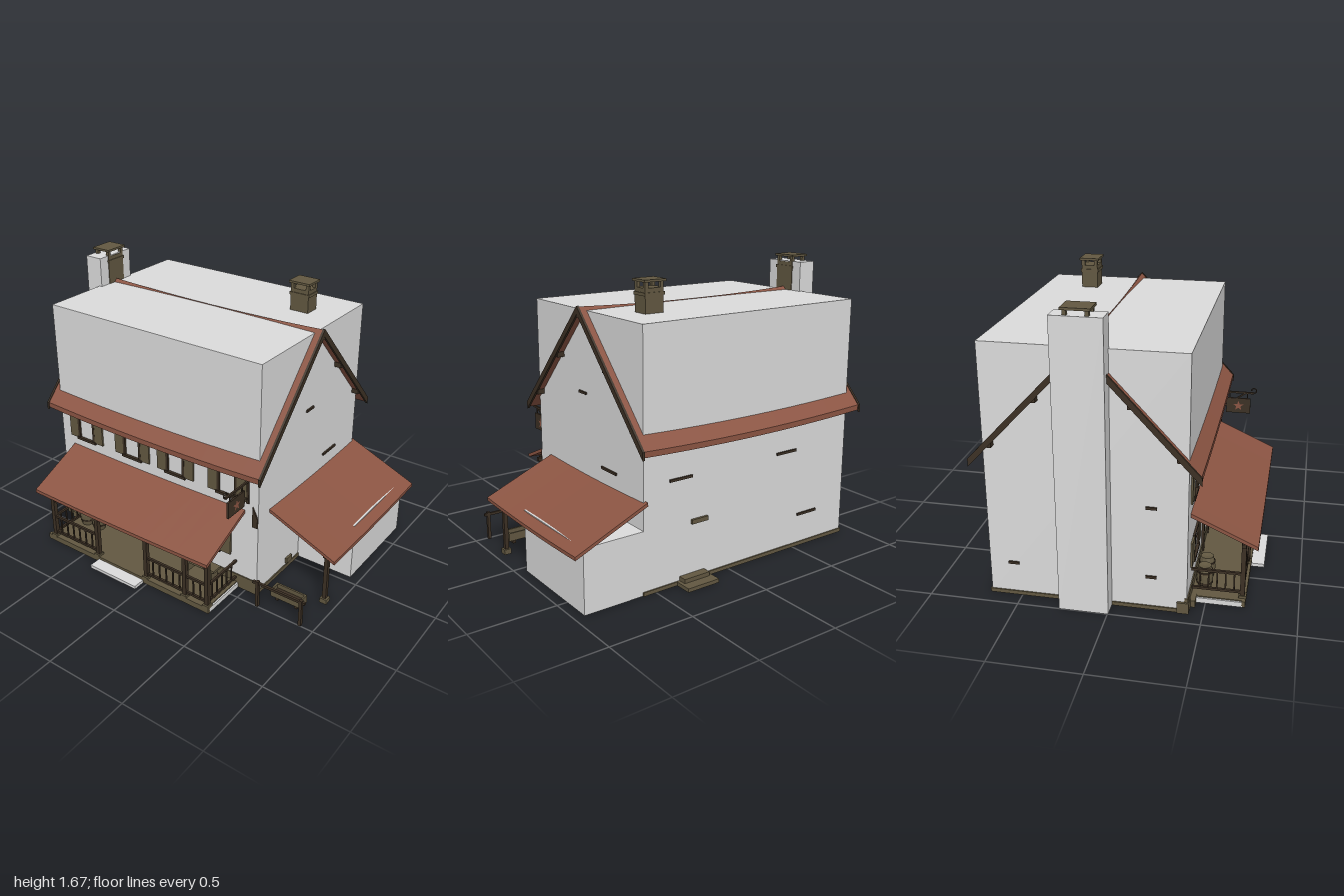
import * as THREE from 'three';

const mat = (name, color) => {
  const m = new THREE.MeshStandardMaterial({ color, flatShading: true });
  m.name = name;
  return m;
};

export function createModel() {
  const model = new THREE.Group();
  model.name = 'house';
  const wall = mat('plaster', 0xdcdcdc);
  const tile = mat('terracotta', 0x8c5543);
  const olive = mat('weathered wood', 0x625841);
  const dark = mat('dark timber', 0x3c3024);

  const add = (name, geo, material) => {
    const mesh = new THREE.Mesh(geo, material);
    mesh.name = name;
    model.add(mesh);
    return mesh;
  };
  // axis-aligned box from its limits
  const box = (name, m, x0, x1, y0, y1, z0, z1) => {
    const b = add(name, new THREE.BoxGeometry(x1 - x0, y1 - y0, z1 - z0), m);
    b.position.set((x0 + x1) / 2, (y0 + y1) / 2, (z0 + z1) / 2);
    return b;
  };
  // square bar between two points
  const beam = (name, m, a, b, w = 0.018, h = w) => {
    const p = new THREE.Vector3(...a), q = new THREE.Vector3(...b);
    const bar = add(name, new THREE.BoxGeometry(w, h, p.distanceTo(q)), m);
    bar.position.copy(p).lerp(q, 0.5);
    bar.lookAt(q);
    return bar;
  };
  // roof slope running along x, falling from inner [z, y] to outer [z, y], sagging mid-length
  const slope = (name, m, length, inner, outer, t, sag) => {
    const geo = new THREE.BoxGeometry(length, 1, 1, 12, 1, 1);
    const p = geo.attributes.position;
    for (let i = 0; i < p.count; i++) {
      const u = p.getZ(i) + 0.5, s = (2 * p.getX(i)) / length;
      p.setZ(i, inner[0] + (outer[0] - inner[0]) * u);
      p.setY(i, inner[1] + (outer[1] - inner[1]) * u + (p.getY(i) - 0.5) * t - sag * (1 - s * s));
    }
    geo.computeVertexNormals();
    return add(name, geo, m);
  };

  // main walls, chimney breast and lean-to
  box('mainWalls', wall, -0.906, 0.575, 0, 1.455, -0.676, 0.413);
  box('chimneyBreast', wall, -1, -0.886, 0, 1.634, -0.266, 0.005);
  box('leanToWalls', wall, 0.57, 0.94, 0, 0.367, -0.676, -0.045);

  // plinth
  box('frontPlinth', olive, -0.91, 0.58, 0, 0.088, 0.40, 0.42);
  box('rightPlinth', olive, 0.57, 0.582, 0, 0.025, -0.045, 0.41);
  box('backPlinth', olive, -0.91, 0.58, 0, 0.022, -0.684, -0.67);
  box('leftPlinth', olive, -0.913, -0.9, 0, 0.022, -0.68, 0.41);
  box('cornerStone', olive, -0.92, -0.85, 0, 0.065, 0.36, 0.425);
  box('cornerStone', olive, -0.85, -0.77, 0, 0.04, 0.41, 0.45);

  // main roof: two sagging slopes with verge boards and purlin ends
  for (const side of [1, -1]) {
    const s = slope('roofSlope', tile, 1.575, [0, 1.478], [0.61, 0.825], 0.032, 0.02);
    s.position.set(-0.163, 0, -0.13);
    if (side < 0) s.rotation.y = Math.PI;
    for (const x of [-0.948, 0.62]) {
      const v = slope('vergeBoard', dark, 0.014, [0, 1.482], [0.615, 0.825], 0.045, 0);
      v.position.set(x, 0, -0.13);
      if (side < 0) v.rotation.y = Math.PI;
    }
    for (const [dz, y] of [[0.25, 1.175], [0.5, 0.908]]) {
      const z = -0.13 + side * dz;
      box('purlinEnd', dark, 0.57, 0.618, y - 0.015, y + 0.015, z - 0.015, z + 0.015);
      box('purlinEnd', dark, -0.946, -0.9, y - 0.015, y + 0.015, z - 0.015, z + 0.015);
    }
  }
  for (const x of [-0.925, 0.6]) box('ridgeEnd', dark, x - 0.024, x + 0.024, 1.42, 1.45, -0.145, -0.115);

  // chimney stacks with collar and capped vent
  const chimney = (x0, x1, z0, z1, base, top) => {
    const e = 0.01;
    box('chimneyStack', olive, x0, x1, base, top - 0.045, z0, z1);
    box('chimneyCollar', olive, x0 - e / 2, x1 + e / 2, top - 0.085, top - 0.068, z0 - e / 2, z1 + e / 2);
    for (const x of [x0, x1 - 0.02]) for (const z of [z0, z1 - 0.02])
      box('chimneyPier', olive, x, x + 0.02, top - 0.046, top - 0.012, z, z + 0.02);
    box('chimneyCap', olive, x0 - e, x1 + e, top - 0.013, top, z0 - e, z1 + e);
  };
  chimney(-0.988, -0.882, -0.198, -0.066, 1.3, 1.674);
  chimney(0.275, 0.393, -0.437, -0.34, 1.2, 1.634);

  // porch and lean-to roofs
  slope('porchRoof', tile, 1.3, [0.405, 0.552], [0.772, 0.386], 0.022, 0.008).position.x = -0.165;
  const lean = slope('leanToRoof', tile, 1.0, [0.562, 0.532], [1.0, 0.346], 0.02, 0.01);
  lean.rotation.y = Math.PI / 2;
  lean.position.z = -0.2;
  for (const x of [-0.75, -0.5, -0.2, 0.1, 0.42])
    beam('porchRafter', dark, [x, 0.515, 0.41], [x, 0.362, 0.74], 0.016);
  for (const z of [0.235, -0.03]) beam('leanToRafter', dark, [0.57, 0.495, z], [0.98, 0.322, z], 0.018);

  // porch floor and front step
  box('porchBase', wall, -0.8, 0.45, 0, 0.03, 0.41, 0.7);
  box('porchBoards', olive, -0.79, 0.44, 0.03, 0.036, 0.41, 0.7);
  box('porchEdge', olive, -0.8, 0.45, 0, 0.036, 0.695, 0.715);
  box('frontStep', wall, -0.375, -0.025, 0, 0.02, 0.7, 0.79);

  // porch posts with braces, header beam
  const posts = [-0.75, -0.39, -0.01, 0.275, 0.43];
  for (const x of posts) {
    box('porchPost', dark, x - 0.013, x + 0.013, 0.036, 0.37, 0.682, 0.708);
    box('postBase', olive, x - 0.02, x + 0.02, 0.03, 0.05, 0.675, 0.718);
    for (const d of [-1, 1]) {
      if (x === 0.275 || (x < -0.7 && d < 0) || (x > 0.4 && d > 0)) continue;
      beam('postBrace', dark, [x, 0.28, 0.695], [x + d * 0.075, 0.355, 0.695], 0.015);
    }
  }
  box('porchHeader', dark, -0.78, 0.46, 0.352, 0.374, 0.684, 0.706);

  // railings
  const railing = (a, b) => {
    for (const y of [0.065, 0.178]) beam('rail', dark, [a[0], y, a[1]], [b[0], y, b[1]], 0.014);
    const n = Math.round(Math.hypot(b[0] - a[0], b[1] - a[1]) / 0.05);
    for (let i = 1; i < n; i++) {
      const x = a[0] + ((b[0] - a[0]) * i) / n, z = a[1] + ((b[1] - a[1]) * i) / n;
      box('baluster', dark, x - 0.004, x + 0.004, 0.065, 0.178, z - 0.004, z + 0.004);
    }
  };
  railing([-0.75, 0.695], [-0.39, 0.695]);
  railing([-0.01, 0.695], [0.43, 0.695]);
  railing([-0.75, 0.415], [-0.75, 0.695]);
  railing([0.43, 0.415], [0.43, 0.695]);

  // windows with open shutters
  const windowUnit = (x, y0, y1, w, sw, muntins) => {
    const h = w / 2, f = 0.016;
    for (const s of [-1, 1]) {
      const xf = x + s * (h - f / 2), xs = x + s * (h + sw / 2);
      box('windowJamb', dark, xf - f / 2, xf + f / 2, y0, y1, 0.405, 0.425);
      box('shutter', olive, xs - sw / 2, xs + sw / 2, y0 + 0.005, y1 - 0.005, 0.41, 0.424);
    }
    box('windowSill', dark, x - h - 0.008, x + h + 0.008, y0 - 0.004, y0 + 0.012, 0.405, 0.43);
    box('windowHead', dark, x - h, x + h, y1 - 0.012, y1, 0.405, 0.425);
    if (muntins) {
      box('muntin', dark, x - 0.003, x + 0.003, y0, y1, 0.41, 0.417);
      box('muntin', dark, x - h, x + h, (y0 + y1) / 2 - 0.003, (y0 + y1) / 2 + 0.003, 0.41, 0.417);
    }
  };
  for (const x of [-0.697, -0.328, 0, 0.367]) windowUnit(x, 0.605, 0.77, 0.135, 0.065, false);
  for (const x of [-0.62, 0.225]) windowUnit(x, 0.205, 0.36, 0.18, 0.08, true);

  // door frame and knob
  for (const x of [-0.308, -0.094]) box('doorJamb', dark, x - 0.012, x + 0.012, 0.036, 0.36, 0.405, 0.428);
  box('doorHead', dark, -0.32, -0.082, 0.345, 0.365, 0.405, 0.428);
  add('doorKnob', new THREE.SphereGeometry(0.007, 8, 6), dark).position.set(-0.125, 0.2, 0.418);

  // lantern on a bracket
  beam('lanternBracket', dark, [-0.058, 0.345, 0.41], [-0.058, 0.345, 0.455], 0.007);
  beam('lanternHook', dark, [-0.058, 0.345, 0.451], [-0.058, 0.325, 0.4511], 0.005);
  box('lantern', tile, -0.071, -0.045, 0.288, 0.322, 0.438, 0.464);
  box('lanternCap', dark, -0.074, -0.042, 0.322, 0.329, 0.435, 0.467);

  // barrels and bench on the porch
  const profile = [[0, 0], [0.036, 0], [0.045, 0.04], [0.047, 0.067], [0.045, 0.094], [0.036, 0.134], [0, 0.128]]
    .map(([r, y]) => new THREE.Vector2(r, y));
  for (const x of [-0.685, -0.585]) {
    add('barrel', new THREE.LatheGeometry(profile, 12), olive).position.set(x, 0.036, 0.48);
    for (const y of [0.035, 0.1])
      add('barrelHoop', new THREE.CylinderGeometry(0.0475, 0.0475, 0.009, 12, 1), dark).position.set(x, 0.036 + y, 0.48);
  }
  box('benchSeat', olive, 0.11, 0.34, 0.1, 0.115, 0.44, 0.51);
  for (const x of [0.13, 0.3]) box('benchLeg', olive, x, x + 0.02, 0.036, 0.1, 0.445, 0.505);

  // hanging sign with a star on both faces
  const sx = 0.505;
  beam('signArm', dark, [sx, 0.745, 0.41], [sx, 0.745, 0.632], 0.011);
  beam('signBrace', dark, [sx, 0.625, 0.412], [sx, 0.742, 0.575], 0.009);
  box('signPlate', dark, sx - 0.008, sx + 0.008, 0.6, 0.77, 0.408, 0.42);
  const curl = add('signCurl', new THREE.TorusGeometry(0.016, 0.004, 6, 14, 4.7), dark);
  curl.rotation.y = Math.PI / 2;
  curl.position.set(sx, 0.762, 0.63);
  for (const z of [0.475, 0.59]) box('signHanger', dark, sx - 0.003, sx + 0.003, 0.7, 0.745, z - 0.003, z + 0.003);
  box('signBoard', dark, sx - 0.006, sx + 0.006, 0.605, 0.706, 0.455, 0.61);
  const star = new THREE.Shape();
  for (let i = 0; i < 10; i++) {
    const a = Math.PI / 2 + (i * Math.PI) / 5, r = i % 2 ? 0.014 : 0.035;
    star[i ? 'lineTo' : 'moveTo'](Math.cos(a) * r, Math.sin(a) * r);
  }
  for (const s of [-1, 1]) {
    const st = add('signStar', new THREE.ShapeGeometry(star), tile);
    st.rotation.y = (s * Math.PI) / 2;
    st.position.set(sx + s * 0.0075, 0.654, 0.533);
  }

  // lean-to post, plate, braces and studs
  box('leanToPost', dark, 0.913, 0.937, 0.02, 0.345, 0.225, 0.249);
  box('leanToPostBase', olive, 0.903, 0.947, 0, 0.03, 0.215, 0.259);
  box('leanToPlate', dark, 0.914, 0.936, 0.322, 0.344, -0.05, 0.27);
  beam('leanToBrace', dark, [0.925, 0.275, 0.235], [0.925, 0.33, 0.175], 0.014);
  beam('leanToBrace', dark, [0.925, 0.275, -0.045], [0.925, 0.33, 0.015], 0.014);
  for (const x of [0.635, 0.71, 0.79]) box('leanToStud', dark, x - 0.004, x + 0.004, 0.36, 0.5 - (x - 0.562) * 0.425, -0.055, -0.047);
  const wedge = new THREE.Shape([[0.54, 0.46], [0.574, 0.46], [0.574, 0.52], [0.54, 0.59]].map((p) => new THREE.Vector2(...p)));
  add('wallBracket', new THREE.ExtrudeGeometry(wedge, { depth: 0.012, bevelEnabled: false }), dark).position.z = 0.41;

  // hitching rail and water trough
  box('hitchingRail', dark, 0.6, 0.94, 0.15, 0.165, 0.484, 0.499);
  for (const x of [0.632, 0.915]) box('hitchingPost', dark, x - 0.009, x + 0.009, 0, 0.172, 0.482, 0.502);
  box('troughBottom', dark, 0.665, 0.855, 0.025, 0.045, 0.33, 0.395);
  for (const z of [0.327, 0.387]) box('troughSide', olive, 0.66, 0.86, 0.022, 0.072, z, z + 0.011);
  for (const x of [0.66, 0.849]) box('troughEnd', olive, x, x + 0.011, 0.022, 0.072, 0.327, 0.398);
  for (const x of [0.69, 0.815]) box('troughFoot', dark, x, x + 0.018, 0, 0.025, 0.335, 0.39);

  // back steps, back hood, sills and side vent
  box('backStepLow', olive, 0.15, 0.36, 0, 0.022, -0.785, -0.67);
  box('backStepHigh', olive, 0.17, 0.34, 0.022, 0.046, -0.725, -0.67);
  box('backHood', olive, 0.155, 0.265, 0.335, 0.36, -0.69, -0.67);
  for (const [x, y] of [[0.335, 0.61], [-0.425, 0.61], [-0.607, 0.2]])
    box('backSill', dark, x - 0.075, x + 0.075, y - 0.007, y + 0.007, -0.686, -0.67);
  box('rightSill', dark, 0.57, 0.585, 0.603, 0.616, -0.43, -0.283);
  box('gableSill', dark, 0.57, 0.585, 0.988, 1.001, -0.135, -0.06);
  box('sideVent', olive, 0.57, 0.588, 0.035, 0.07, 0.045, 0.103);
  for (const [z, y] of [[-0.54, 0.2], [0.22, 0.61], [0.22, 0.2]])
    box('leftSill', dark, -0.916, -0.9, y - 0.007, y + 0.007, z - 0.03, z + 0.03);

  return model;
}
